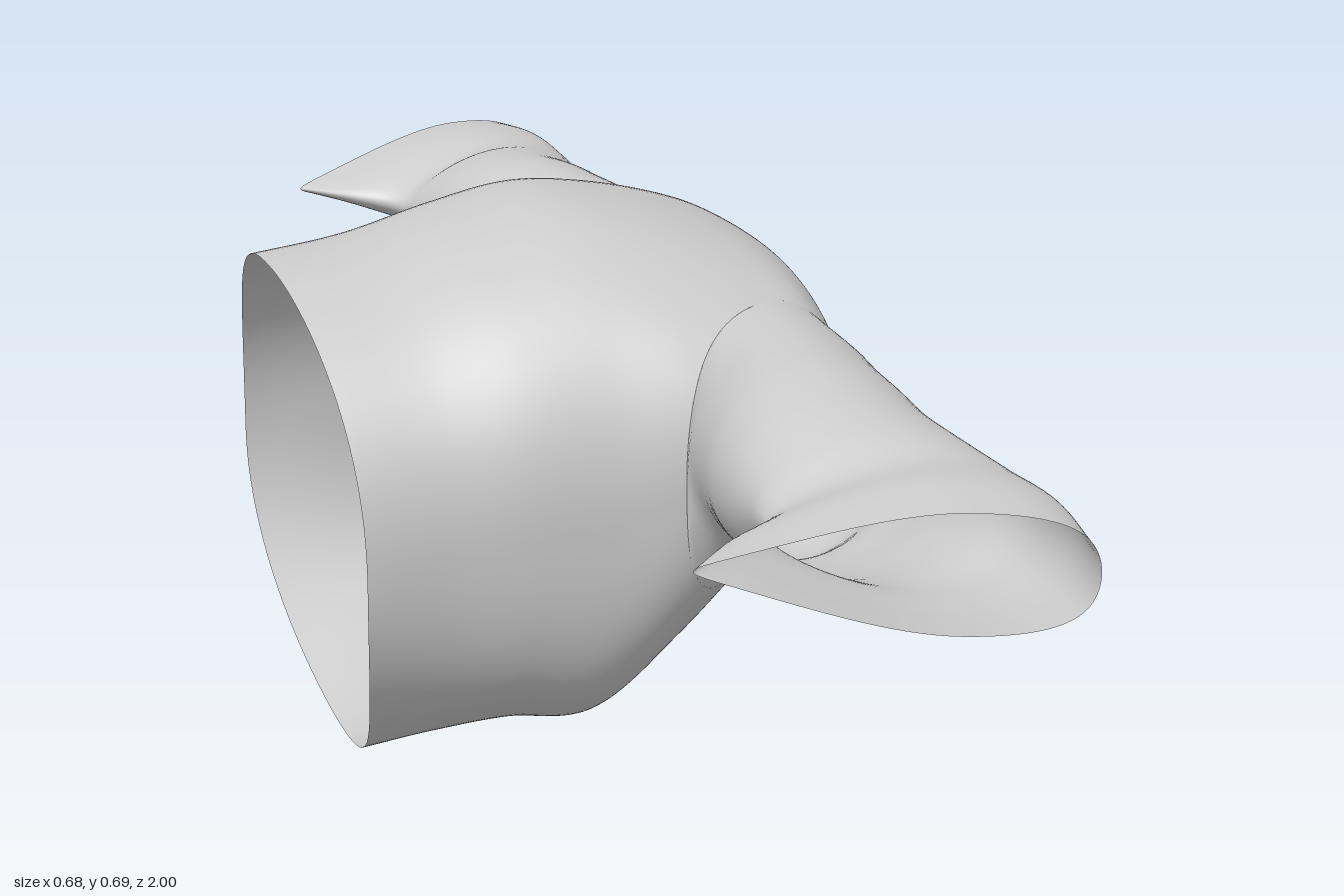
import * as THREE from 'three';

const material = new THREE.MeshStandardMaterial({ color: 0xcccccc, side: THREE.DoubleSide });

// Tube-like surface: rows along the length, columns around (closed loop).
function loopSurface(name, rows, cols, point, flip = false, skip = () => false) {
  const positions = [], index = [];
  for (let i = 0; i <= rows; i++)
    for (let j = 0; j < cols; j++) positions.push(...point(i / rows, j / cols).toArray());
  for (let i = 0; i < rows; i++)
    for (let j = 0; j < cols; j++) {
      if (skip(i, j)) continue;
      const k = (j + 1) % cols;
      const a = i * cols + j, b = a + cols, c = (i + 1) * cols + k, d = i * cols + k;
      if (flip) index.push(a, c, b, a, d, c);
      else index.push(a, b, c, a, c, d);
    }
  const geometry = new THREE.BufferGeometry();
  geometry.setAttribute('position', new THREE.Float32BufferAttribute(positions, 3));
  geometry.setIndex(index);
  geometry.computeVertexNormals();
  const mesh = new THREE.Mesh(geometry, material);
  mesh.name = name;
  return mesh;
}

const power = (v, n) => Math.sign(v) * Math.abs(v) ** (2 / n);

// Bodice sections from hem to neck: x at top, side, bottom; y bottom, top; half width; roundness below
const bodySections = [
  [-0.34, -0.305, -0.26, 0.0, 0.62, 0.335, 2.0],
  [-0.22, -0.2, -0.185, 0.027, 0.638, 0.335, 2.4],
  [-0.1, -0.1, -0.1, 0.048, 0.67, 0.345, 2.8],
  [0, 0, 0, 0.048, 0.69, 0.355, 2.9],
  [0.1, 0.1, 0.1, 0.13, 0.68, 0.37, 2.6],
  [0.2, 0.2, 0.19, 0.23, 0.655, 0.37, 2.3],
  [0.25, 0.28, 0.25, 0.283, 0.635, 0.34, 2.1],
  [0.295, 0.315, 0.273, 0.3, 0.607, 0.27, 2],
  [0.31, 0.335, 0.28, 0.305, 0.59, 0.16, 2],
];

function bodyPoint(u, angle) {
  const c = Math.cos(angle), s = Math.sin(angle);
  const points = bodySections.map(([xTop, xSide, xBottom, low, high, width, round]) => {
    const n = s > 0 ? 2.2 : round;
    return new THREE.Vector3(
      xSide + ((s > 0 ? xTop : xBottom) - xSide) * s * s,
      (low + high) / 2 + ((high - low) / 2) * power(s, n),
      width * power(c, n));
  });
  return new THREE.CatmullRomCurve3(points).getPoint(u);
}

// Armhole: an ellipse in the bodice's (length, angle) coordinates, mirrored to both sides
const hole = { u: 5.35 / 8, angle: 0.05, ru: 1.6 / 8, ra: 0.76 };
const holePoint = (phi) =>
  bodyPoint(hole.u + hole.ru * Math.cos(phi), hole.angle + hole.ra * Math.sin(phi));

function holeOffset(u, angle) {
  const local = Math.cos(angle) >= 0 ? angle : Math.PI - angle;
  const x = (u - hole.u) / hole.ru, y = (local - hole.angle) / hole.ra;
  return { phi: Math.atan2(y, x), distance: Math.hypot(x, y) };
}

function bodice() {
  const rows = 96, cols = 144;
  const angleOf = (v) => -Math.PI / 2 + v * Math.PI * 2;
  const inside = (i, j) => holeOffset(i / rows, angleOf((j % cols) / cols)).distance < 1;
  // Points within an armhole move out to its rim
  const point = (u, v) => {
    const angle = angleOf(v), { phi, distance } = holeOffset(u, angle);
    if (distance >= 1) return bodyPoint(u, angle);
    const p = holePoint(phi);
    if (Math.cos(angle) < 0) p.z *= -1;
    return p;
  };
  const skip = (i, j) =>
    inside(i, j) && inside(i + 1, j) && inside(i, j + 1) && inside(i + 1, j + 1);
  return loopSurface('bodice', rows, cols, point, false, skip);
}

// Sleeve sections: z at rear and front edge; x min, max; y min, max; pinch of the rear edge
const sleeveSections = [
  [0.39, 0.4, 0.07, 0.318, 0.318, 0.602, 0],
  [0.47, 0.47, 0.055, 0.306, 0.345, 0.602, 0],
  [0.54, 0.54, 0.04, 0.302, 0.36, 0.6, 0],
  [0.62, 0.62, 0.032, 0.298, 0.38, 0.592, 0],
  [0.7, 0.71, 0.03, 0.305, 0.405, 0.58, 0.1],
  [0.75, 0.8, 0.022, 0.313, 0.417, 0.568, 0.3],
  [0.81, 0.9, -0.045, 0.308, 0.425, 0.574, 0.5],
  [0.87, 1.0, -0.1, 0.29, 0.435, 0.567, 0.65],
];

function sleeve(name, side) {
  const point = (u, v) => {
    const phi = v * Math.PI * 2, c = Math.cos(phi), s = Math.sin(phi);
    const points = sleeveSections.map(([zRear, zFront, x0, x1, y0, y1, pinch]) =>
      new THREE.Vector3(
        (x0 + x1) / 2 + ((x1 - x0) / 2) * c + 0.1 * pinch * s * s,
        (y0 + y1) / 2 + ((y1 - y0) / 2) * s * (c < 0 ? 1 - pinch * c * c : 1),
        (zRear + zFront) / 2 + ((zFront - zRear) / 2) * c + 0.04 * pinch * s * s));
    const p = new THREE.CatmullRomCurve3([holePoint(phi), ...points]).getPoint(u);
    p.z *= side;
    return p;
  };
  return loopSurface(name, 64, 96, point, side > 0);
}

export function createModel() {
  const garment = new THREE.Group();
  garment.name = 'croppedTop';
  garment.add(bodice(), sleeve('leftSleeve', 1), sleeve('rightSleeve', -1));
  return garment;
}
